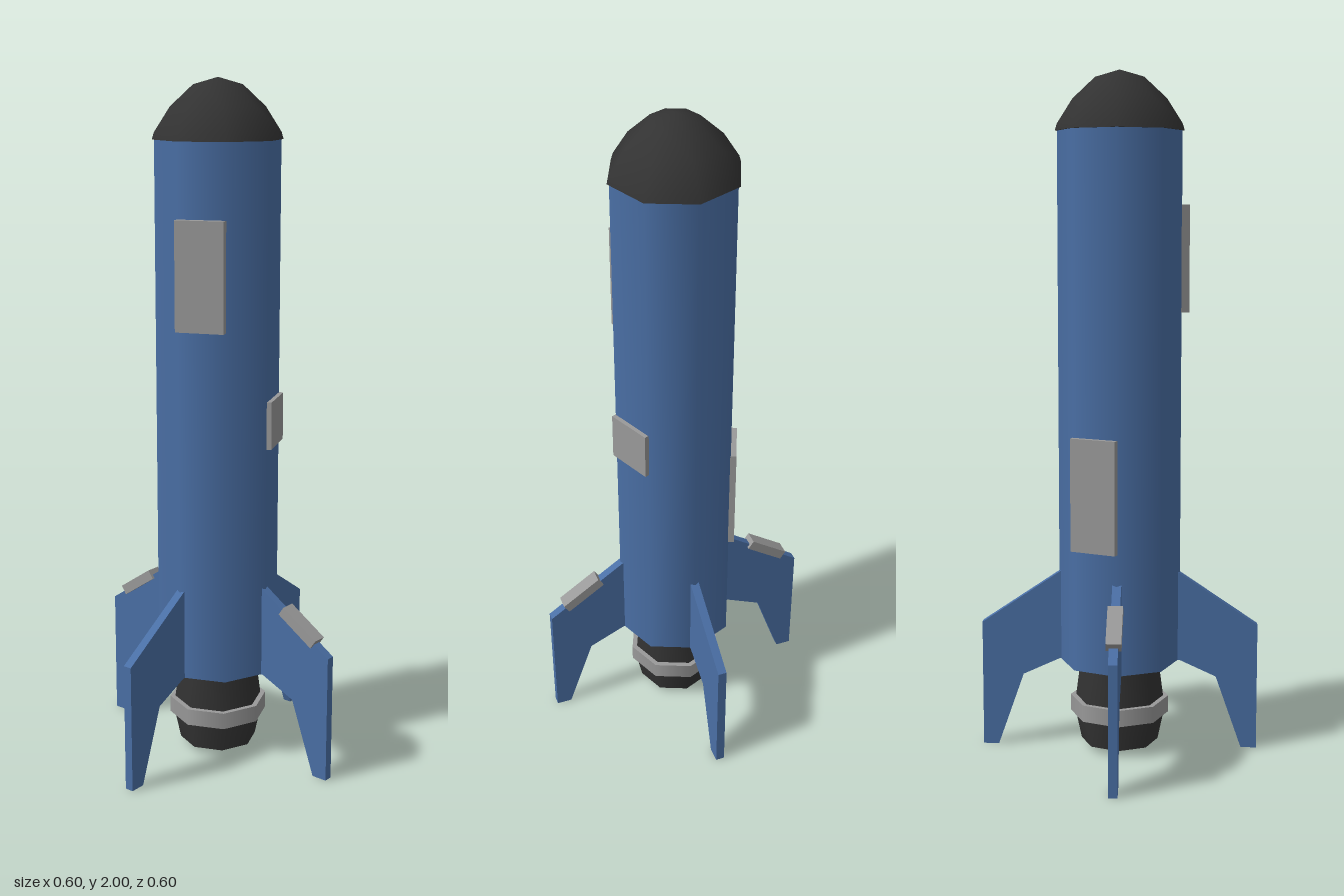
import * as THREE from 'three';
import { toCreasedNormals } from 'three/addons/utils/BufferGeometryUtils.js';

const SIDES = 8;
const blue = new THREE.MeshStandardMaterial({ color: 0x4a6fa5 });
const dark = new THREE.MeshStandardMaterial({ color: 0x333333 });
const grey = new THREE.MeshStandardMaterial({ color: 0x999999 });

function add(parent, name, geometry, material) {
  const mesh = new THREE.Mesh(geometry, material);
  mesh.name = name;
  parent.add(mesh);
  return mesh;
}

// Eight-sided turned part from [radius, height] pairs, listed bottom to top
function turned(profile) {
  const points = profile.map(([r, y]) => new THREE.Vector2(r, y));
  return toCreasedNormals(new THREE.LatheGeometry(points, SIDES), 0.9);
}

export function createModel() {
  const rocket = new THREE.Group();
  rocket.name = 'rocket';

  // Hull and nose
  const hull = add(rocket, 'hull', new THREE.CylinderGeometry(0.18, 0.18, 1.56, SIDES), blue);
  hull.position.y = 1.05;
  add(rocket, 'noseCone', turned([
    [0, 1.83], [0.186, 1.83], [0.18, 1.85], [0.135, 1.92], [0.07, 1.98], [0, 2],
  ]), dark);

  // Engine bell with an open recess underneath, and its collar
  add(rocket, 'engine', turned([
    [0, 0.09], [0.07, 0.09], [0.08, 0.02], [0.115, 0.02],
    [0.132, 0.1], [0.132, 0.15], [0.115, 0.28],
  ]), dark);
  const collar = add(rocket, 'engineCollar',
    new THREE.CylinderGeometry(0.147, 0.147, 0.05, SIDES), grey);
  collar.position.y = 0.13;

  // Swept fins: outline in radius and height
  const outline = new THREE.Shape([
    [0.15, 0.27], [0.18, 0.27], [0.289, 0.22], [0.366, 0],
    [0.412, 0], [0.412, 0.38], [0.175, 0.54], [0.15, 0.54],
  ].map(([r, y]) => new THREE.Vector2(r, y)));
  const finGeometry = new THREE.ExtrudeGeometry(outline, { depth: 0.026, bevelEnabled: false });
  finGeometry.translate(0, 0, -0.013);
  for (let i = 0; i < 4; i++) {
    const fin = new THREE.Group();
    fin.name = 'finAssembly';
    fin.rotation.y = -Math.PI / 4 + i * Math.PI / 2;
    rocket.add(fin);
    add(fin, 'fin', finGeometry, blue);
    // One opposite pair carries a pad on the sloping edge
    if (i % 2 === 0) {
      const pad = add(fin, 'finPad', new THREE.BoxGeometry(0.137, 0.03, 0.044), grey);
      pad.position.set(0.308, 0.453, 0);
      pad.rotation.z = -Math.atan2(0.16, 0.237);
    }
  }

  // Access panels on hull faces: angle from the front, bottom, top, outer distance
  const panels = [
    ['frontPanel', -22.5, 1.31, 1.62, 0.19],
    ['leftPanel', 67.5, 0.96, 1.1, 0.179],
    ['backPanel', 202.5, 0.63, 0.96, 0.183],
  ];
  for (const [name, degrees, bottom, top, outer] of panels) {
    const depth = outer - 0.155;
    const angle = THREE.MathUtils.degToRad(degrees);
    const panel = add(rocket, name, new THREE.BoxGeometry(0.141, top - bottom, depth), grey);
    const distance = outer - depth / 2;
    panel.position.set(Math.sin(angle) * distance, (top + bottom) / 2, Math.cos(angle) * distance);
    panel.rotation.y = angle;
  }

  return rocket;
}
